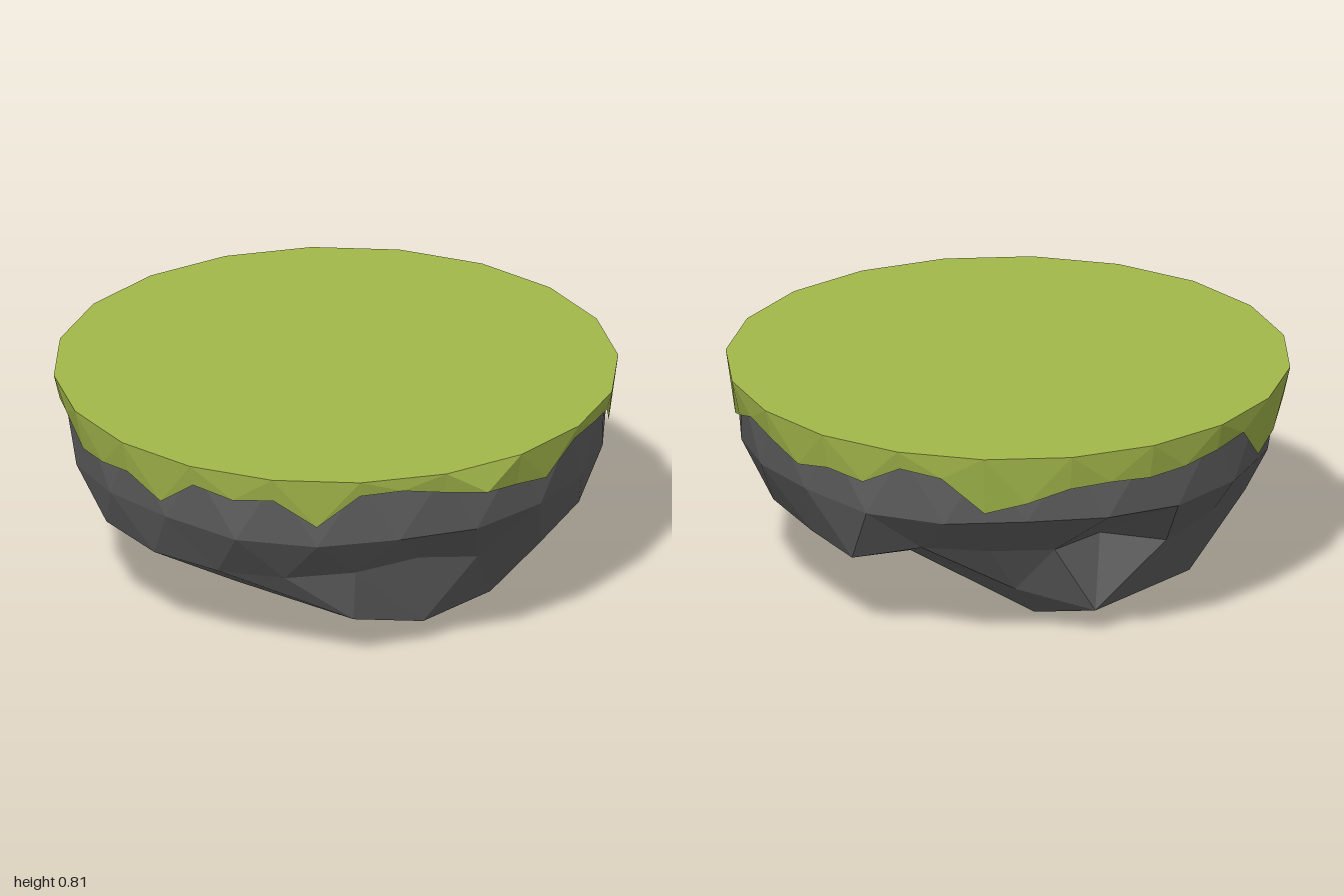
import * as THREE from 'three';

const TAU = Math.PI * 2;

// Point on a ring: turn 0 faces the front, growing towards +x
const polar = (turn, r, y) => [r * Math.sin(turn * TAU), y, r * Math.cos(turn * TAU)];

// Triangles joining an upper and a lower ring with any number of points;
// each ring is { pts, shift }, with shift as the turn of its first point
function stitch(out, upper, lower) {
  const U = upper.pts, L = lower.pts, m = U.length, n = L.length;
  let i = 0, j = 0;
  while (i < m || j < n) {
    const nextU = (i + 0.5) / m + upper.shift;
    const nextL = (j + 0.5) / n + lower.shift;
    const a = U[i % m], b = L[j % n];
    if (j >= n || (i < m && nextU < nextL)) out.push(...b, ...U[(i + 1) % m], ...a), i++;
    else out.push(...b, ...L[(j + 1) % n], ...a), j++;
  }
}

// Fan from a ring to one point, facing up or down
function cap(out, pts, centre, up) {
  pts.forEach((p, i) => {
    const q = pts[(i + 1) % pts.length];
    out.push(...(up ? [...p, ...q, ...centre] : [...q, ...p, ...centre]));
  });
}

function facetedMesh(name, positions, color) {
  const geometry = new THREE.BufferGeometry();
  geometry.setAttribute('position', new THREE.Float32BufferAttribute(positions, 3));
  geometry.computeVertexNormals();
  const mesh = new THREE.Mesh(
    geometry,
    new THREE.MeshStandardMaterial({ color, flatShading: true, side: THREE.DoubleSide })
  );
  mesh.name = name;
  return mesh;
}

function makeRock() {
  const rim = [], shoulder = [];
  for (let i = 0; i < 20; i++) {
    rim.push(polar(i / 20, 0.97, 0.79));
    shoulder.push(polar((i + 0.5) / 20, 0.94 + 0.006 * Math.sin(i * 2.3), 0.54 + 0.012 * Math.sin(i * 1.7)));
  }
  // Radius and height of the belly, every 18 degrees, hollowed at the back right
  const belly = [
    [0.75, 0.38], [0.76, 0.33], [0.84, 0.32], [0.88, 0.37], [0.85, 0.35],
    [0.81, 0.32], [0.84, 0.30], [0.78, 0.37], [0.73, 0.36], [0.73, 0.36],
    [0.63, 0.36], [0.74, 0.31], [0.79, 0.36], [0.84, 0.34], [0.85, 0.32],
    [0.88, 0.36], [0.85, 0.34], [0.81, 0.33], [0.80, 0.34], [0.80, 0.37],
  ].map(([r, y], i) => polar(i / 20, r, y));
  // Uneven crags around the underside
  const crags = [
    [0.05, 0.09, 0.67], [0.35, 0.11, 0.57], [0.50, 0.20, 0.34], [0.45, 0.20, -0.08], [0.29, 0.17, -0.53],
    [0.05, 0.09, -0.68], [-0.44, 0.09, -0.51], [-0.60, 0.20, -0.10], [-0.52, 0.20, 0.32], [-0.23, 0.16, 0.70],
  ];
  // Hollow and lowest tip near the middle
  const base = [
    [0.05, 0.16, 0.40], [0.26, 0.18, 0.10], [0.12, 0, -0.38], [-0.13, 0.09, -0.48], [-0.27, 0.17, 0.15],
  ];
  const rings = [
    { pts: rim, shift: 0 },
    { pts: shoulder, shift: 0.025 },
    { pts: belly, shift: 0 },
    { pts: crags, shift: 0 },
    { pts: base, shift: 0.05 },
  ];
  const out = [];
  for (let k = 0; k < rings.length - 1; k++) stitch(out, rings[k], rings[k + 1]);
  cap(out, base, [0, 0.15, 0], false);
  return facetedMesh('rock', out, 0x626262);
}

function makeGrass() {
  // Height of the ragged lower edge, every 9 degrees
  const hem = [
    0.73, 0.71, 0.685, 0.66, 0.76, 0.76, 0.74, 0.63, 0.68, 0.73,
    0.70, 0.65, 0.68, 0.66, 0.74, 0.72, 0.59, 0.63, 0.68, 0.69,
    0.68, 0.69, 0.71, 0.73, 0.59, 0.63, 0.70, 0.66, 0.72, 0.74,
    0.66, 0.67, 0.69, 0.62, 0.73, 0.70, 0.72, 0.62, 0.75, 0.76,
  ];
  const edge = [];
  for (let i = 0; i < 20; i++) edge.push(polar(i / 20, 1, 0.81));
  const skirt = hem.map((y, i) => polar(i / 40, 0.95 + (y - 0.53) * 0.15, y));
  skirt[1] = [0.16, 0.71, 1]; // one tuft sticking out at the front
  const out = [];
  stitch(out, { pts: edge, shift: 0 }, { pts: skirt, shift: 0 });
  cap(out, edge, [0, 0.812, 0], true);
  return facetedMesh('grass', out, 0xa3b84b);
}

export function createModel() {
  const island = new THREE.Group();
  island.name = 'floatingIsland';
  island.add(makeRock(), makeGrass());
  return island;
}
